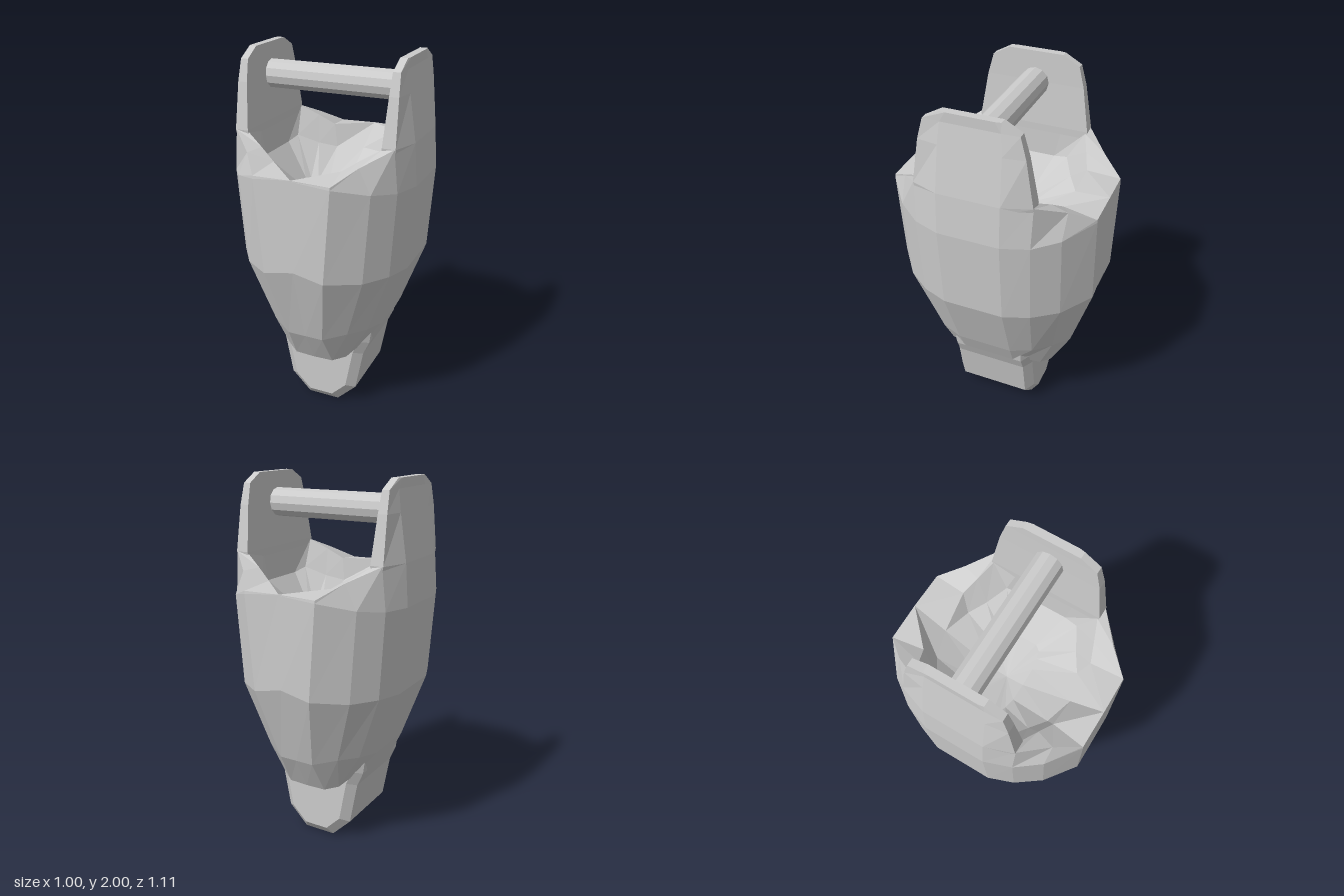
import * as THREE from 'three';

const material = new THREE.MeshStandardMaterial({ color: 0xcccccc, flatShading: true });

function addMesh(parent, name, geometry) {
  const mesh = new THREE.Mesh(geometry, material);
  mesh.name = name;
  parent.add(mesh);
  return mesh;
}

// Skin a stack of equal-length rings (counterclockwise seen from above) and cap both ends
function loft(rings, bottomCentre, topCentre) {
  const pos = [];
  const n = rings[0].length;
  const tri = (a, b, c) => pos.push(...a, ...b, ...c);
  for (let j = 0; j < n; j++) {
    const k = (j + 1) % n;
    for (let i = 0; i < rings.length - 1; i++) {
      const lo = rings[i], hi = rings[i + 1];
      tri(lo[j], lo[k], hi[k]);
      tri(lo[j], hi[k], hi[j]);
    }
    const last = rings[rings.length - 1];
    tri(bottomCentre, rings[0][k], rings[0][j]);
    tri(topCentre, last[j], last[k]);
  }
  const geometry = new THREE.BufferGeometry();
  geometry.setAttribute('position', new THREE.Float32BufferAttribute(pos, 3));
  geometry.computeVertexNormals();
  return geometry;
}

// Mirror a quarter ring (front centre to side centre) into a full ring
function fullRing(quarter) {
  const back = quarter.slice(0, -1).reverse().map(([x, y, z]) => [x, y, -z]);
  const half = [...quarter, ...back];
  const other = half.slice(1, -1).reverse().map(([x, y, z]) => [-x, y, z]);
  return [...half, ...other];
}

// Body quarter rings: underside, belly, shoulders, rim, then down into the bowl
const bodyRings = [
  [[0, 0.345, 0.33], [0.11, 0.345, 0.325], [0.175, 0.36, 0.28], [0.25, 0.43, 0.205], [0.28, 0.43, 0.15], [0.28, 0.43, 0]],
  [[0, 0.535, 0.43], [0.1, 0.535, 0.43], [0.215, 0.56, 0.36], [0.295, 0.56, 0.27], [0.335, 0.55, 0.155], [0.335, 0.55, 0]],
  [[0, 0.975, 0.555], [0.165, 0.94, 0.553], [0.325, 0.92, 0.43], [0.42, 0.92, 0.3], [0.47, 0.92, 0.165], [0.47, 0.92, 0]],
  [[0, 1.46, 0.555], [0.205, 1.445, 0.555], [0.36, 1.4, 0.43], [0.45, 1.38, 0.305], [0.5, 1.38, 0.165], [0.5, 1.38, 0]],
  [[0, 1.465, 0.555], [0.205, 1.46, 0.553], [0.3, 1.53, 0.435], [0.43, 1.6, 0.31], [0.485, 1.6, 0.165], [0.485, 1.6, 0]],
  [[0, 1.465, 0.553], [0.185, 1.48, 0.375], [0.27, 1.535, 0.34], [0.365, 1.59, 0.3], [0.37, 1.59, 0.165], [0.37, 1.59, 0]],
  [[0, 1.36, 0.375], [0.15, 1.36, 0.33], [0.24, 1.39, 0.27], [0.345, 1.44, 0.21], [0.365, 1.42, 0.13], [0.365, 1.42, 0]],
  [[0, 1.21, 0.1], [0.1, 1.22, 0.1], [0.16, 1.23, 0.09], [0.2, 1.24, 0.08], [0.22, 1.25, 0.05], [0.22, 1.25, 0]],
].map(fullRing);

// Ear rows: height, half depth, inner x, outer edge x, outer middle x, half depth of middle
const earRings = [
  [1.56, 0.305, 0.365, 0.43, 0.482, 0.165],
  [1.6, 0.31, 0.365, 0.435, 0.485, 0.165],
  [1.84, 0.27, 0.38, 0.43, 0.447, 0.16],
  [1.95, 0.24, 0.385, 0.425, 0.43, 0.15],
  [2.0, 0.15, 0.387, 0.425, 0.43, 0.12],
].map(([y, z, xIn, xEdge, xMid, zMid]) => [
  [xIn, y, z], [xEdge, y, z], [xMid, y, zMid],
  [xMid, y, -zMid], [xEdge, y, -z], [xIn, y, -z],
]);

export function createModel() {
  const group = new THREE.Group();
  group.name = 'bucketHead';

  addMesh(group, 'body', loft(bodyRings, [0, 0.36, 0], [0, 1.2, 0]));

  // Side ears that hold the pin
  const earGeometry = loft(earRings, [0.42, 1.56, 0], [0.41, 2, 0]);
  addMesh(group, 'leftEar', earGeometry);
  addMesh(group, 'rightEar', earGeometry).rotation.y = Math.PI;

  // Cross pin between the ears
  const pin = addMesh(group, 'pin', new THREE.CylinderGeometry(0.077, 0.077, 0.79, 12));
  pin.rotation.z = Math.PI / 2;
  pin.position.y = 1.835;

  // Tapered foot with chamfered front and back
  const side = [[0.09, 0], [0.2, 0.11], [0.245, 0.35], [0.28, 0.43], [0.29, 0.5]];
  const outline = [...side, ...side.map(([x, y]) => [-x, y]).reverse()];
  const foot = new THREE.ExtrudeGeometry(
    new THREE.Shape(outline.map(([x, y]) => new THREE.Vector2(x, y))),
    { depth: 0.4, bevelEnabled: true, bevelThickness: 0.04, bevelSize: 0.05, bevelOffset: -0.05, bevelSegments: 1 }
  );
  foot.translate(0, 0, -0.2);
  addMesh(group, 'foot', foot);

  return group;
}
